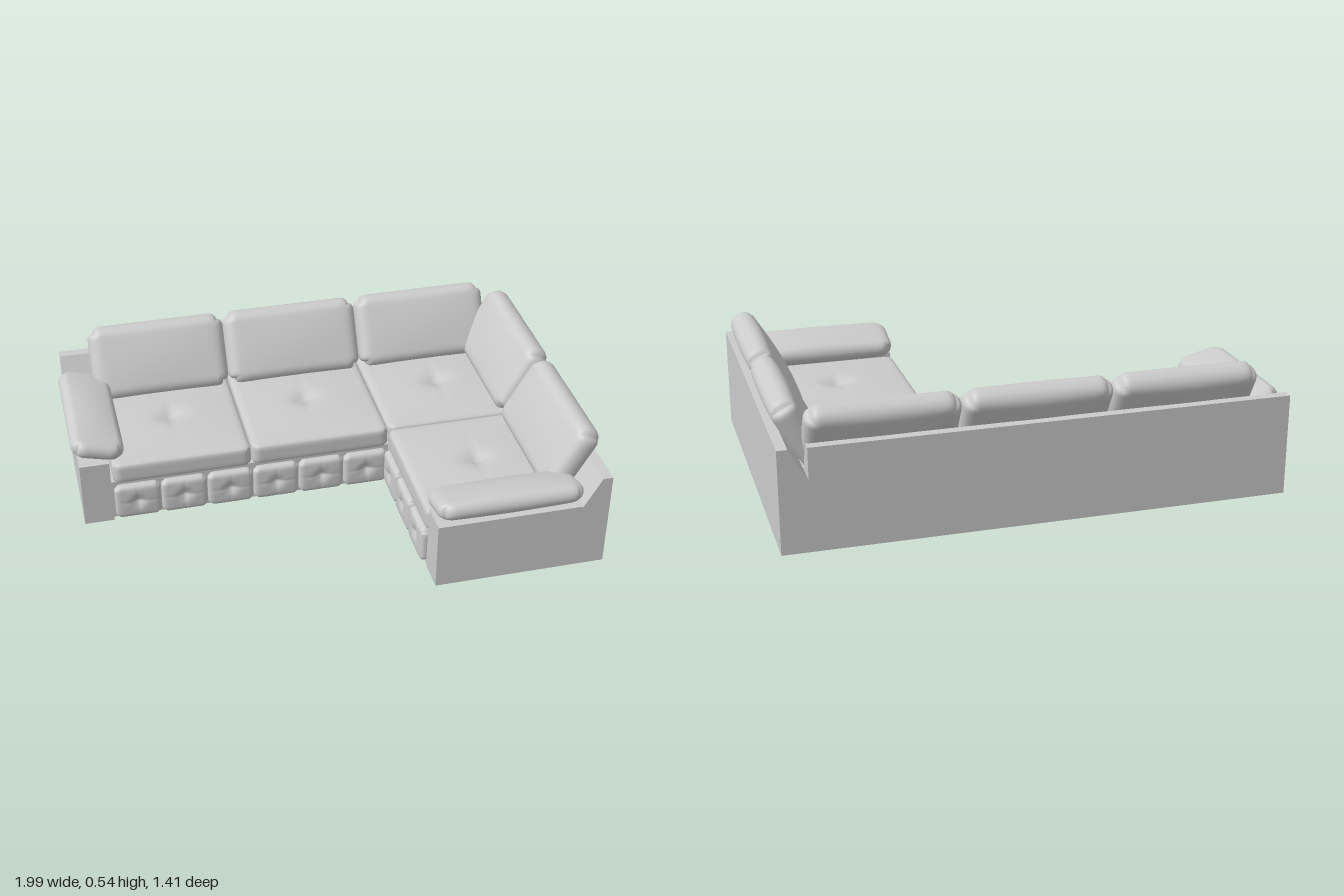
import * as THREE from 'three';
import { mergeVertices } from 'three/addons/utils/BufferGeometryUtils.js';

const material = new THREE.MeshStandardMaterial({ color: 0xcccccc });

// Soft cushion lying flat: rounded edges (r), rounded plan corners (R),
// domed faces (crown) and an optional buttoned dimple with creases (tuft).
function cushionGeometry(w, h, d, { r, R, crown = 0, tuft = 0, spread = 0.05, n = 32 }) {
  let g = new THREE.BoxGeometry(w, h, d, n, 8, n);
  g.deleteAttribute('uv');
  g.deleteAttribute('normal');
  g = mergeVertices(g, 1e-5);
  const p = g.attributes.position;
  const half = [w / 2, h / 2, d / 2];
  const excess = (v, limit) => Math.sign(v) * Math.max(Math.abs(v) - limit, 0);
  for (let i = 0; i < p.count; i++) {
    const v = [p.getX(i), p.getY(i), p.getZ(i)];
    // round all edges
    const e = v.map((c, k) => excess(c, half[k] - r));
    const len = Math.hypot(...e);
    const s = len > 0 ? Math.max(...e.map(Math.abs)) / len : 1;
    let [x, y, z] = v.map((c, k) => c - e[k] + e[k] * s);
    // round the corners in plan
    const ex = excess(x, w / 2 - R), ez = excess(z, d / 2 - R);
    const l2 = Math.hypot(ex, ez);
    if (l2 > 0) {
      const k = Math.max(Math.abs(ex), Math.abs(ez)) / l2 - 1;
      x += ex * k;
      z += ez * k;
    }
    // dome and button
    const up = y / (h / 2);
    const dome = (1 - (2 * x / w) ** 2) * (1 - (2 * z / d) ** 2);
    y += up * crown * dome;
    if (tuft && up > 0) {
      const dist = Math.hypot(x, z);
      const crease = Math.exp(-((Math.min(Math.abs(x), Math.abs(z)) / (spread * 0.25)) ** 2));
      y -= up * tuft * (Math.exp(-((dist / spread) ** 2)) + 0.3 * crease * Math.exp(-dist / (spread * 2)));
    }
    p.setXYZ(i, x, y, z);
  }
  g.computeVertexNormals();
  return g;
}

export function createModel() {
  const model = new THREE.Group();
  model.name = 'cornerSofa';

  const add = (name, geometry, x, y, z, turn = 0) => {
    const mesh = new THREE.Mesh(geometry, material);
    mesh.name = name;
    mesh.position.set(x, y, z);
    mesh.rotation.y = turn;
    model.add(mesh);
    return mesh;
  };
  // box given by its minimum and maximum on each axis
  const block = (name, x0, x1, y0, y1, z0, z1) =>
    add(name, new THREE.BoxGeometry(x1 - x0, y1 - y0, z1 - z0),
      (x0 + x1) / 2, (y0 + y1) / 2, (z0 + z1) / 2);

  // back walls with a sloped inner top edge
  const wallGeometry = (length) => {
    const profile = new THREE.Shape([[0, 0], [0, 0.405], [-0.04, 0.405], [-0.11, 0.28], [-0.11, 0]]
      .map(([x, y]) => new THREE.Vector2(x, y)));
    return new THREE.ExtrudeGeometry(profile, { depth: length, bevelEnabled: false });
  };
  add('sideWall', wallGeometry(1.385), 0.99, 0, -0.705);
  add('rearWall', wallGeometry(1.86), -0.98, 0, -0.705, Math.PI / 2);

  // bases: closed under the long part, hollow under the short part
  block('mainBase', -0.87, 0.885, 0.005, 0.18, -0.6, -0.03);
  block('sideSeatBoard', 0.31, 0.885, 0.16, 0.18, -0.03, 0.57);
  block('sidePanel', 0.3, 0.315, 0.01, 0.18, -0.03, 0.57);

  // arm blocks
  block('rightArm', -0.98, -0.86, 0, 0.285, -0.6, -0.015);
  block('frontArm', 0.3, 0.88, 0, 0.285, 0.56, 0.68);

  // arm pads, tipped down towards the seats
  const armPad = cushionGeometry(0.215, 0.066, 0.585, { r: 0.032, R: 0.06, crown: 0.016 });
  armPad.rotateZ(-0.25);
  add('rightArmPad', armPad, -0.898, 0.336, -0.305);
  add('frontArmPad', armPad, 0.59, 0.336, 0.602, Math.PI / 2);

  // seat cushions
  const seats = [
    ['rightSeat', -0.85, -0.282, -0.6, -0.012],
    ['middleSeat', -0.278, 0.296, -0.6, -0.012],
    ['cornerSeat', 0.298, 0.88, -0.6, -0.02],
    ['sideSeat', 0.292, 0.88, -0.016, 0.565],
  ];
  for (const [name, x0, x1, z0, z1] of seats) {
    add(name, cushionGeometry(x1 - x0, 0.092, z1 - z0, { r: 0.02, R: 0.025, crown: 0.014, tuft: 0.02 }),
      (x0 + x1) / 2, 0.224, (z0 + z1) / 2);
  }

  // leaning back cushions
  const back = cushionGeometry(0.578, 0.1, 0.315, { r: 0.045, R: 0.055, crown: 0.014 });
  back.rotateX(Math.PI / 2 - 0.52);
  for (const x of [-0.57, 0.01, 0.592]) add('rearBackCushion', back, x, 0.392, -0.588);
  for (const z of [-0.308, 0.275]) add('sideBackCushion', back, 0.878, 0.392, z, -Math.PI / 2);

  // buttoned pads along the fronts of both bases
  const pad = cushionGeometry(0.188, 0.04, 0.155, { r: 0.018, R: 0.025, crown: 0.005, tuft: 0.016, spread: 0.025, n: 22 });
  pad.rotateX(Math.PI / 2);
  for (let i = 0; i < 6; i++) add('frontPad', pad, -0.757 + i * 0.191, 0.093, -0.014);
  for (let i = 0; i < 3; i++) add('sidePad', pad, 0.297, 0.093, 0.078 + i * 0.191, -Math.PI / 2);

  return model;
}
